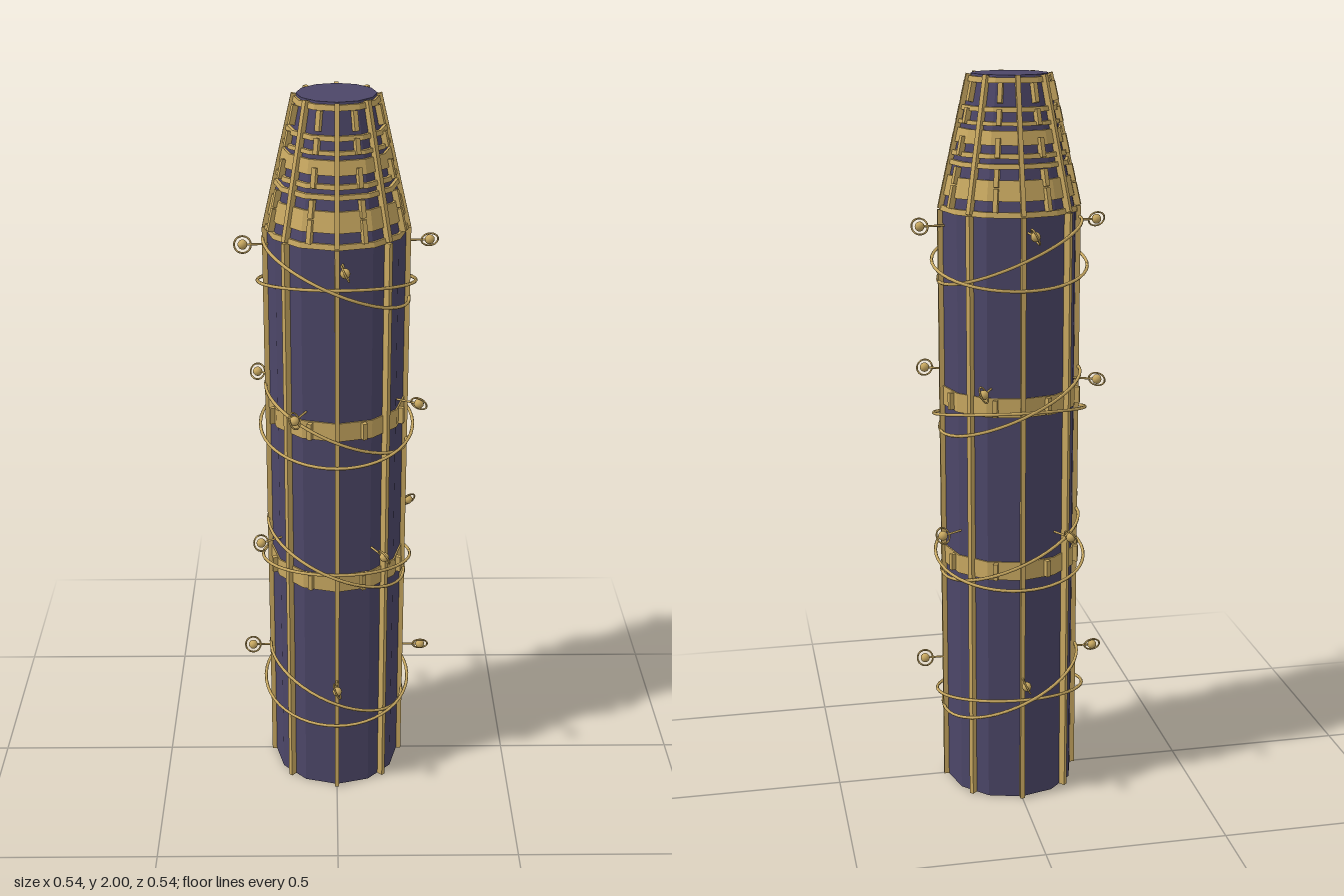
import * as THREE from 'three';

const SIDES = 12, SHOULDER = 1.65, TOP = 2;
const R0 = 0.182, R1 = 0.102;

// Radius of the tower at a height
const radiusAt = y => y <= SHOULDER ? R0 : R0 + (R1 - R0) * (y - SHOULDER) / (TOP - SHOULDER);

export function createModel() {
  const model = new THREE.Group();
  model.name = 'tower';
  const stone = new THREE.MeshStandardMaterial({ color: 0x4c4668, flatShading: true });
  stone.name = 'dusk purple';
  const gold = new THREE.MeshStandardMaterial({ color: 0xc9a961 });
  gold.name = 'gold';

  const add = (parent, name, geometry, material) => {
    const mesh = new THREE.Mesh(geometry, material);
    mesh.name = name;
    parent.add(mesh);
    return mesh;
  };
  // Group turned so that its local +z points outward at the angle
  const spoke = (name, angle) => {
    const g = new THREE.Group();
    g.name = name;
    g.rotation.y = angle;
    model.add(g);
    return g;
  };

  // Shaft and tapered crown
  add(model, 'shaft', new THREE.CylinderGeometry(R0, R0, SHOULDER, SIDES), stone).position.y = SHOULDER / 2;
  add(model, 'crown', new THREE.CylinderGeometry(R1, R0, TOP - SHOULDER, SIDES), stone).position.y = (SHOULDER + TOP) / 2;

  // Horizontal bands: [centre height, band height, projection]
  const bands = [
    [0.685, 0.052, 0.004], [1.145, 0.052, 0.004],
    [1.655, 0.014, 0.006], [1.715, 0.052, 0.006], [1.775, 0.012, 0.008], [1.80, 0.012, 0.008],
    [1.845, 0.036, 0.006], [1.88, 0.01, 0.008], [1.915, 0.012, 0.008], [1.987, 0.014, 0.006],
  ];
  for (const [y, h, out] of bands) {
    const geo = new THREE.CylinderGeometry(radiusAt(y + h / 2) + out, radiusAt(y - h / 2) + out, h, SIDES).toNonIndexed();
    geo.computeVertexNormals();
    add(model, 'band', geo, gold).position.y = y;
  }

  // Eight vertical ribs, continued up the slope of the crown
  const slope = Math.atan2(R0 - R1, TOP - SHOULDER);
  const crownLength = Math.hypot(R0 - R1, TOP - SHOULDER) - 0.004;
  for (let i = 0; i < 8; i++) {
    const rib = spoke('rib', i * Math.PI / 4);
    add(rib, 'shaftRib', new THREE.BoxGeometry(0.012, SHOULDER, 0.026), gold).position.set(0, SHOULDER / 2, 0.181);
    const upper = add(rib, 'crownRib', new THREE.BoxGeometry(0.012, crownLength, 0.02), gold);
    upper.position.set(0, (SHOULDER + TOP) / 2, (R0 + R1) / 2 + 0.002);
    upper.rotation.x = -slope;

    // Studs halfway between the ribs
    const studs = spoke('studs', (i + 0.5) * Math.PI / 4);
    for (const [y, h] of [[0.685, 0.046], [1.145, 0.046], [1.69, 0.06], [1.745, 0.045], [1.82, 0.05], [1.895, 0.04], [1.955, 0.05]]) {
      const stud = add(studs, 'stud', new THREE.BoxGeometry(0.012, h, 0.022), gold);
      stud.position.set(0, y, radiusAt(y) + 0.002);
      stud.rotation.x = y > SHOULDER ? -slope : 0;
    }
  }

  // Four tiers of tilted hoops and lantern orbs
  const hoop = new THREE.TorusGeometry(0.209, 0.0045, 6, 48).rotateX(Math.PI / 2);
  const stalk = new THREE.CylinderGeometry(0.003, 0.003, 0.075, 6).rotateX(Math.PI / 2);
  const orb = new THREE.SphereGeometry(0.013, 12, 8);
  const halo = new THREE.TorusGeometry(0.022, 0.0025, 6, 20).rotateY(Math.PI / 2);
  for (let tier = 0; tier < 4; tier++) {
    const y = 0.37 + tier * 0.413;
    const first = add(model, 'hoop', hoop, gold);
    first.position.y = y - 0.103;
    first.rotation.x = tier % 2 ? -0.21 : 0.21;
    const second = add(model, 'crossHoop', hoop, gold);
    second.position.y = y - 0.07;
    second.rotation.z = -0.4;

    for (let k = 0; k < 4; k++) {
      const lantern = spoke('lantern', tier * 0.55 + k * Math.PI / 2);
      lantern.position.y = y;
      add(lantern, 'stalk', stalk, gold).position.z = 0.2;
      add(lantern, 'orb', orb, gold).position.z = 0.245;
      const ring = add(lantern, 'halo', halo, gold);
      ring.position.z = 0.245;
      ring.rotation.z = 0.45;
    }
  }
  return model;
}
